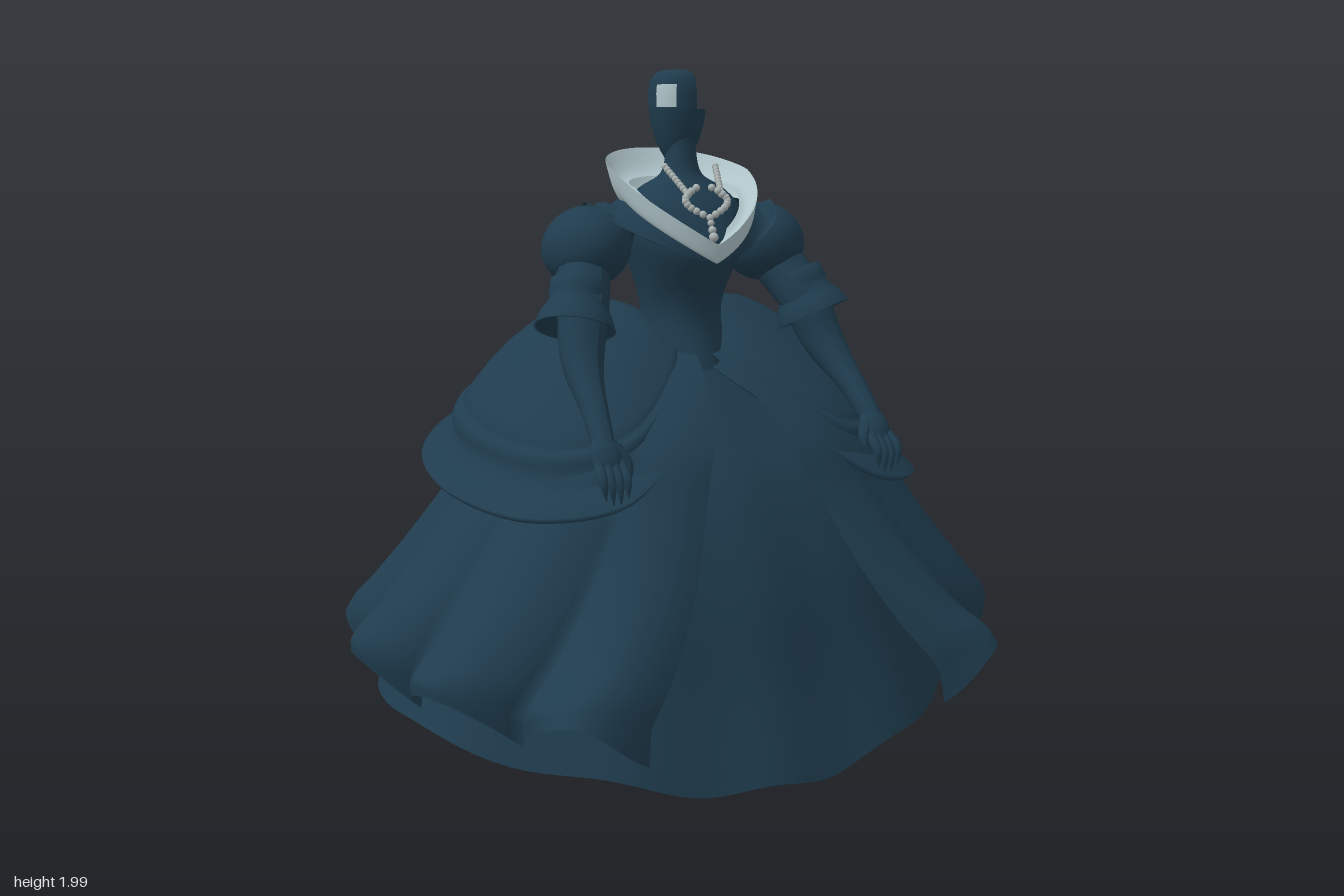
import * as THREE from 'three';

const fabric = new THREE.MeshStandardMaterial({ color: 0x1f3c4e, side: THREE.DoubleSide });
fabric.name = 'dark teal';
const pale = new THREE.MeshStandardMaterial({ color: 0xb0c5ca, side: THREE.DoubleSide });
pale.name = 'pale blue';
const silver = new THREE.MeshStandardMaterial({ color: 0xaab2b2 });
silver.name = 'silver';

const V = (x, y, z) => new THREE.Vector3(x, y, z);
const lerp = THREE.MathUtils.lerp;
const bell = (x, centre, width) => Math.exp(-Math.pow((x - centre) / width, 2));
const curveOf = (rows, closed = false) =>
  new THREE.CatmullRomCurve3(rows.map(r => V(...r)), closed);

function add(parent, name, geometry, material = fabric) {
  const mesh = new THREE.Mesh(geometry, material);
  mesh.name = name;
  parent.add(mesh);
  return mesh;
}

// Surface from a rule fn(u, t): u runs round, t runs down
function sheet(fn, nu, nt, closed) {
  const cols = closed ? nu : nu + 1, pos = [], idx = [];
  for (let j = 0; j <= nt; j++)
    for (let i = 0; i < cols; i++) pos.push(...fn(i / nu, j / nt).toArray());
  for (let j = 0; j < nt; j++)
    for (let i = 0; i < nu; i++) {
      const a = j * cols + i, b = j * cols + (i + 1) % cols, c = a + cols, d = b + cols;
      idx.push(a, c, b, b, c, d);
    }
  const g = new THREE.BufferGeometry();
  g.setAttribute('position', new THREE.Float32BufferAttribute(pos, 3));
  g.setIndex(idx);
  g.computeVertexNormals();
  return g;
}

// Tube whose radius follows a list of values
function limb(points, radii, radial = 14, steps = 24) {
  const curve = curveOf(points);
  const g = new THREE.TubeGeometry(curve, steps, 1, radial);
  const rad = curveOf(radii.map((r, i) => [i, r, 0]));
  const p = g.attributes.position, v = V(0, 0, 0);
  for (let i = 0; i <= steps; i++) {
    const c = curve.getPointAt(i / steps);
    const r = Math.max(rad.getPoint(i / steps).y, 0.001);
    for (let j = 0; j <= radial; j++) {
      const k = i * (radial + 1) + j;
      v.fromBufferAttribute(p, k).sub(c).multiplyScalar(r).add(c);
      p.setXYZ(k, v.x, v.y, v.z);
    }
  }
  g.computeVertexNormals();
  return g;
}

// Rounded-box outline radius at an angle measured from the front
const oval = (q, a, b, n = 2.5) =>
  Math.pow(Math.pow(Math.abs(Math.sin(q) / a), n) + Math.pow(Math.abs(Math.cos(q) / b), n), -1 / n);

// Round flutes between sharp notches: 0 in a notch, 1 on a crest; d in degrees from the front
const notches = [27, 56, 82, 108, 144, 180];
function flute(d) {
  for (let i = 1; i < notches.length; i++)
    if (d <= notches[i] + 1e-6)
      return Math.pow(Math.max(0, Math.sin(Math.PI * (d - notches[i - 1]) / (notches[i] - notches[i - 1]))), .8);
  return 0;
}

function skirts(root) {
  // Underskirt, low at the front and back
  const under = curveOf([[0, .1, .1], [.15, .3, .26], [.33, .53, .42], [.55, .7, .53], [.78, .82, .6], [1, .91, .68]]);
  add(root, 'underskirt', sheet((u, t) => {
    const q = u * Math.PI * 2, s = under.getPoint(t), c = Math.cos(q);
    const hem = .19 - (c > 0 ? .17 : .11) * c * c + .014 * Math.cos(10 * q + .8);
    const r = oval(q, s.y, s.z, 2.2) * (1 + .012 * t * Math.cos(10 * q));
    return V(r * Math.sin(q), lerp(1.2, hem, s.x), r * c + .05 * (1 - t));
  }, 120, 28, true));
  // Overskirt, open at the front, fluted towards the hem
  const over = curveOf([[1.2, .1, .1], [1.12, .3, .25], [.95, .55, .43], [.8, .67, .5], [.6, .81, .6], [.45, .91, .68], [.35, .955, .74], [.28, .945, .755]]);
  const open = .576;
  add(root, 'overskirt', sheet((u, t) => {
    // Flutes keep a fixed place round the hem while the opening narrows to the waist
    const hemAngle = lerp(open, Math.PI * 2 - open, u);
    const d = THREE.MathUtils.radToDeg(Math.min(hemAngle, Math.PI * 2 - hemAngle));
    const gap = lerp(.15, open, Math.min(1, t * 1.15));
    const q = lerp(gap, Math.PI * 2 - gap, u), s = over.getPoint(t), w = flute(d);
    const corner = t * t * (.08 * bell(d, 42, 13) + .05 * bell(d, 125, 14));
    const r = oval(q, s.y, s.z) * (1 + .15 * Math.pow(t, 1.6) * (w - .62) + corner);
    const lift = .14 * (w - .55) - .1 * bell(d, 33, 7);
    return V(r * Math.sin(q), s.x + Math.pow(t, 4) * lift, r * Math.cos(q) + .05 * (1 - t));
  }, 216, 32, false));
}

// Domed hip drape with a rolled band and a flared lower ruffle, flatter towards the front
function hipDrape(side) {
  const rim = curveOf([[.01, 1.15, .18], [.14, 1.02, .37], [.4, .825, .5], [.64, .78, .39], [.765, .81, .05],
    [.7, .87, -.3], [.5, .94, -.51], [.23, 1.03, -.48], [.03, 1.24, -.14]], true);
  const profile = [[0, 1], [.14, .985], [.28, .92], [.4, .83], [.52, .71], [.63, .57], [.72, .43], [.76, .36],
    [.755, .32], [.8, .325], [.825, .26], [.81, .18], [.88, .12], [.99, .03], [.97, 0]];
  const top = V(.2, 1.325, -.07);
  add(side, 'hipDrape', sheet((u, t) => {
    const p = rim.getPoint(u), [s, h] = profile[Math.round(t * (profile.length - 1))];
    const flat = .4 * THREE.MathUtils.smoothstep(p.z, 0, .45) * (1 - t);
    return V(lerp(top.x, p.x, s), lerp(p.y, top.y, lerp(h, 1 - s, flat)), lerp(top.z, p.z, s));
  }, 72, profile.length - 1, true));
}

function arm(side) {
  const puff = add(side, 'puffSleeve', new THREE.SphereGeometry(.125, 28, 20));
  puff.scale.set(1.05, .95, 1.1);
  puff.position.set(.3, 1.49, .03);
  puff.rotation.z = -.35;
  add(side, 'armOfBody', limb([[.2, 1.56, .03], [.31, 1.46, .05], [.37, 1.33, .15], [.41, 1.19, .22], [.435, 1.06, .35], [.445, .98, .42]],
    [.08, .08, .074, .064, .042, .032]));
  // Snug cuff band with a short ruffle at the elbow
  const cuff = add(side, 'elbowCuff', new THREE.LatheGeometry(
    [[.06, .085], [.08, .08], [.083, .04], [.078, .02], [.1, -.015], [.118, -.06], [.108, -.06], [.06, -.02]]
      .map(p => new THREE.Vector2(...p)), 28));
  cuff.position.set(.39, 1.325, .145);
  cuff.quaternion.setFromUnitVectors(V(0, 1, 0), V(-.26, .88, -.32).normalize());
  // Hand
  const palm = add(side, 'palm', new THREE.SphereGeometry(.048, 18, 14));
  palm.scale.set(1, 1.35, .65);
  palm.position.set(.445, .955, .435);
  palm.rotation.x = -.5;
  for (let i = 0; i < 4; i++) {
    const x = .413 + i * .022, drop = i === 0 || i === 3 ? .015 : 0;
    add(side, 'finger', limb([[x, .94, .455], [x + .002 * i, .89 + drop / 2, .495], [x, .835 + drop, .5]],
      [.015, .014, .002], 8, 10));
  }
  add(side, 'thumb', limb([[.415, .98, .43], [.39, .93, .455], [.397, .88, .475]], [.018, .015, .002], 8, 10));
}

function leg(side) {
  add(side, 'leg', limb([[.11, 1.0, 0], [.11, .6, .01], [.115, .4, -.02], [.125, .2, -.015], [.13, .09, -.025]],
    [.09, .08, .08, .06, .062]));
  add(side, 'shoe', limb([[.13, .08, -.1], [.13, .09, -.03], [.133, .09, .04], [.138, .084, .11], [.144, .078, .175], [.15, .07, .24], [.154, .064, .282]],
    [.012, .06, .06, .054, .05, .042, .004]));
}

function torso(root) {
  // Rows: height, half width, half depth
  const body = curveOf([[1.19, .135, .125], [1.3, .125, .105], [1.42, .155, .14], [1.52, .185, .165], [1.6, .185, .14],
    [1.66, .13, .09], [1.7, .062, .058], [1.76, .045, .046], [1.84, .045, .045]]);
  add(root, 'torsoAndNeck', sheet((u, t) => {
    const q = -u * Math.PI * 2, s = body.getPoint(t), c = Math.max(Math.cos(q), 0);
    const tip = Math.pow(c, 5) * Math.pow(1 - t, 6);
    const bust = .035 * c * bell(s.x, 1.47, .07);
    return V(s.y * Math.sin(q), s.x - .06 * tip, .055 + s.z * Math.cos(q) + .035 * tip + bust);
  }, 40, 40, true));

  // Collar and shoulder cape share a tilted V-shaped ring
  const ring = (q, rx, rz, front, side, back, zc) => {
    const k = (1 - Math.cos(q)) / 2;
    const y = k < .5 ? lerp(front, side, Math.pow(k * 2, .55)) : lerp(side, back, k * 2 - 1);
    return V(rx * Math.sin(q), y, zc + rz * Math.cos(q));
  };
  const upper = q => ring(q, .228, .215, 1.5, 1.71, 1.775, .06);
  const lower = q => ring(q, .2, .185, 1.445, 1.62, 1.64, .08);
  const inner = q => ring(q, .165, .155, 1.51, 1.66, 1.69, .075);
  const edge = q => ring(q, .315, .2, 1.44, 1.62, 1.52, .05);
  const strip = (a, b) => sheet((u, t) => {
    const q = u * Math.PI * 2, p = a(q).lerp(b(q), t);
    p.y -= .015 * Math.sin(t * Math.PI);
    return p;
  }, 64, 6, true);
  add(root, 'collarOuter', strip(upper, lower), pale);
  add(root, 'collarInner', strip(upper, inner), pale);
  add(root, 'shoulderCape', strip(lower, edge));
}

function necklace(root) {
  const bead = (x, y, z, r = .011) =>
    add(root, 'necklaceBead', new THREE.SphereGeometry(r, 10, 8), silver).position.set(x, y, z);
  for (const s of [-1, 1]) {
    for (let i = 0; i <= 9; i++) { // chain
      const t = i / 9;
      bead(s * (.085 - .03 * t), 1.72 - .08 * t, .11 + .085 * t, .01);
    }
    for (let i = 0; i <= 9; i++) { // heart-shaped loop
      const t = i / 9;
      bead(s * .07 * Math.sin(Math.PI * (.12 + .88 * t)), 1.66 - .085 * t, .19 + .035 * t);
    }
  }
  for (let i = 0; i < 3; i++) bead(0, 1.56 - i * .02, .23 + i * .008, .01 + .002 * i);
}

function head(root) {
  const g = new THREE.Group();
  g.name = 'head';
  g.position.set(0, 0, .033);
  root.add(g);
  const turned = (name, points, start, sweep, material) =>
    add(g, name, new THREE.LatheGeometry(points.map(p => new THREE.Vector2(...p)), 28, start, sweep), material);
  // Full lower face, and an upper shell kept only on one side
  turned('lowerFace', [[.035, 1.74], [.05, 1.765], [.066, 1.8], [.08, 1.85], [.085, 1.885]], 0, Math.PI * 2);
  turned('upperFaceShell', [[.085, 1.885], [.086, 1.93], [.08, 1.97], [.062, 1.992], [.03, 1.999], [.001, 2]], 3, 3.5);
  // Pale band across the eye, seen from outside and inside
  turned('eyePatch', [[.087, 1.89], [.088, 1.93], [.085, 1.955]], 5.0, .75, pale);
  turned('eyePatchInside', [[.082, 1.9], [.083, 1.93], [.079, 1.958]], 4.72, 1.4, pale);
}

export function createModel() {
  const root = new THREE.Group();
  root.name = 'gownFigure';
  skirts(root);
  for (const s of [1, -1]) {
    const side = new THREE.Group();
    side.name = s > 0 ? 'leftSide' : 'rightSide';
    hipDrape(side);
    arm(side);
    leg(side);
    side.scale.x = s;
    root.add(side);
  }
  torso(root);
  necklace(root);
  head(root);
  return root;
}
